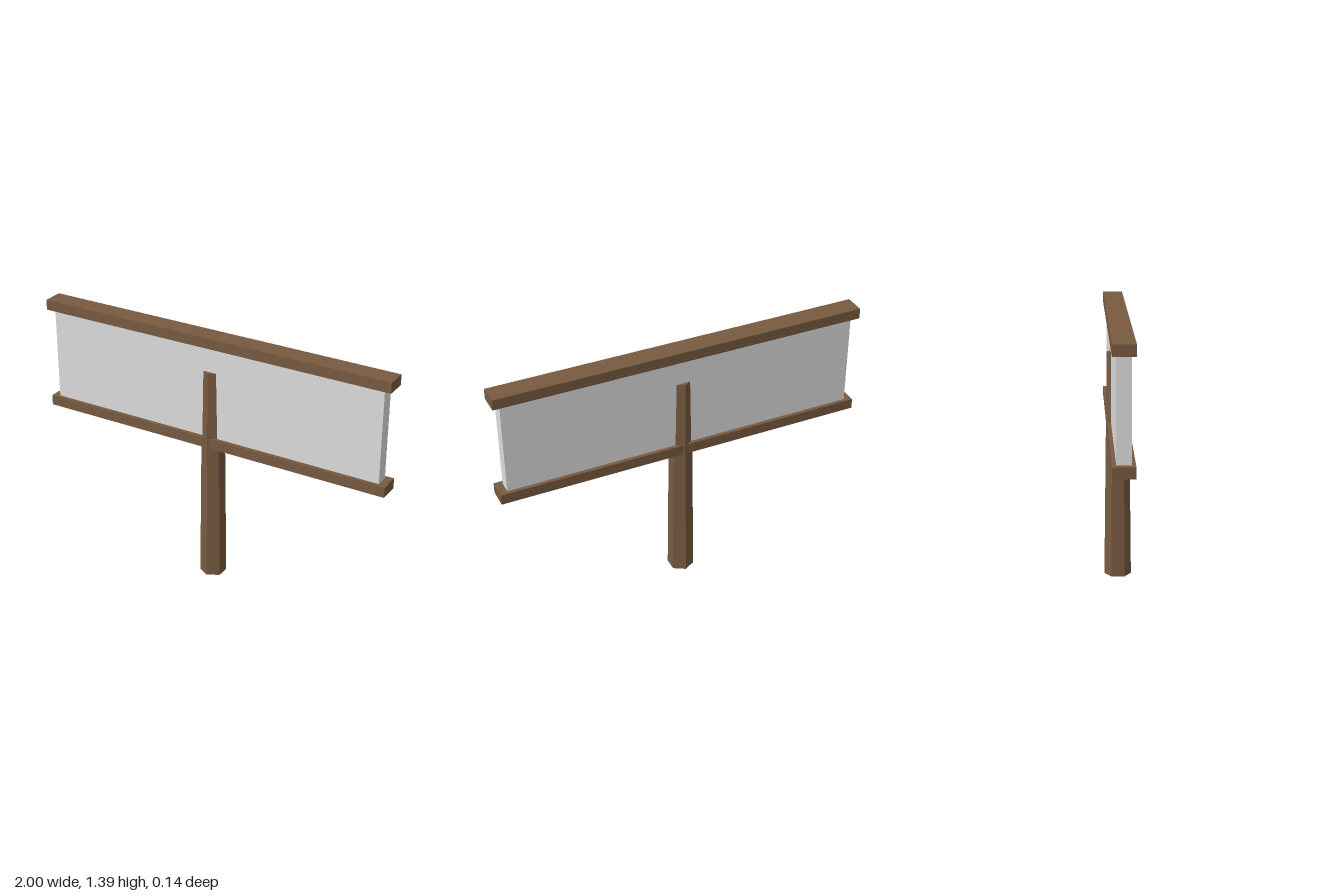
import * as THREE from 'three';

export function createModel() {
  const wood = new THREE.MeshStandardMaterial({ color: 0x785a40 });
  wood.name = 'brownWood';
  const board = new THREE.MeshStandardMaterial({ color: 0xdddddd });
  board.name = 'paleGrey';

  const model = new THREE.Group();
  model.name = 'signpost';

  const add = (name, geometry, material, y) => {
    const mesh = new THREE.Mesh(geometry, material);
    mesh.name = name;
    mesh.position.y = y;
    model.add(mesh);
  };

  // Tapered six-sided post, with an edge facing front and back
  const postHeight = 1.2;
  const post = new THREE.CylinderGeometry(0.057, 0.071, postHeight, 6).toNonIndexed();
  post.computeVertexNormals();
  add('post', post, wood, postHeight / 2);

  // Blank board held between two rails
  const railHeight = 0.056, bottom = 0.775, top = 1.392;
  const panelHeight = top - bottom - 2 * railHeight;
  add('panel', new THREE.BoxGeometry(1.92, panelHeight, 0.071), board, (top + bottom) / 2);
  for (const [name, y] of [['bottomRail', bottom + railHeight / 2], ['topRail', top - railHeight / 2]]) {
    add(name, new THREE.BoxGeometry(2, railHeight, 0.111), wood, y);
  }

  return model;
}
